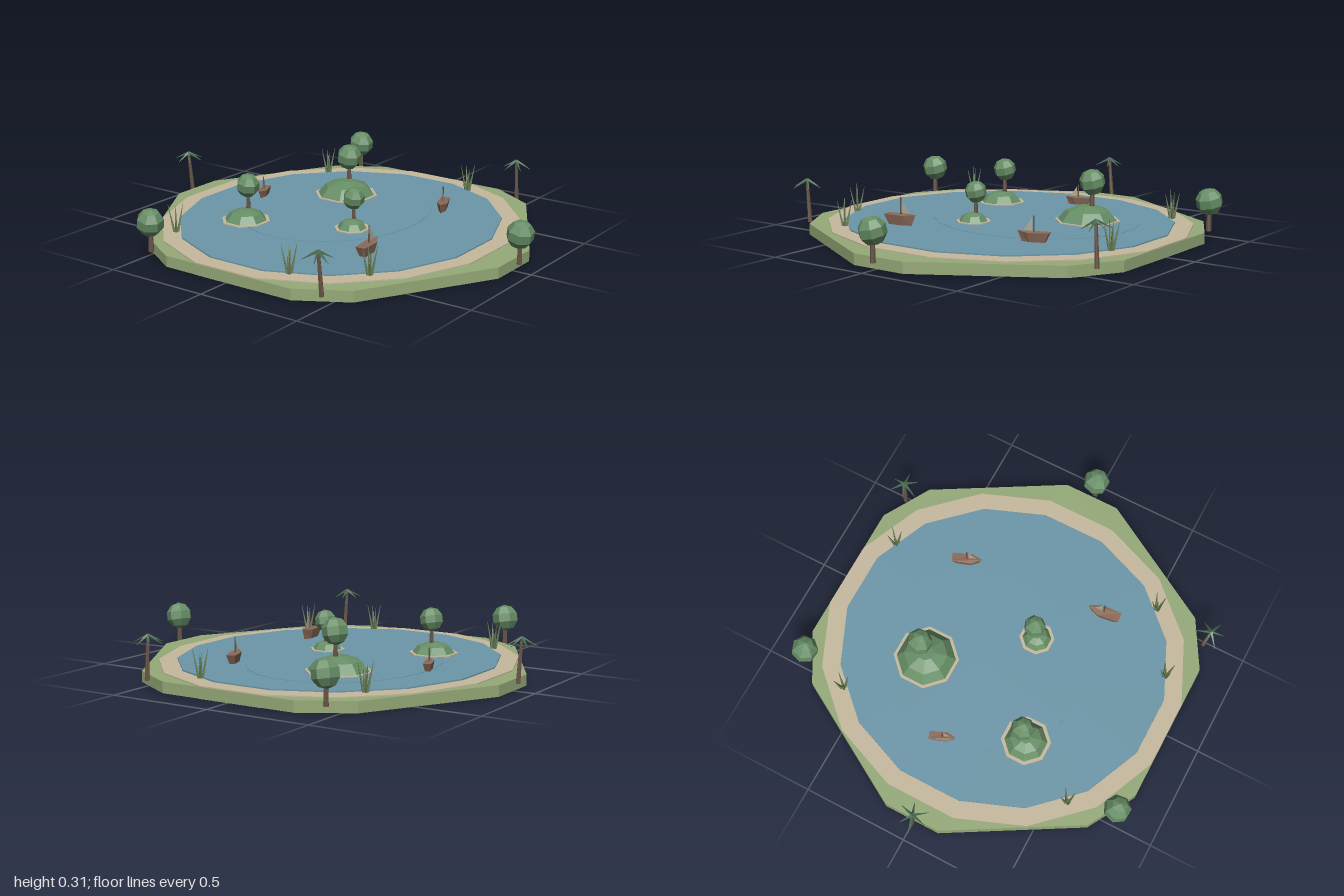
import * as THREE from 'three';

const mat = (name, color, side = THREE.FrontSide) => {
  const m = new THREE.MeshStandardMaterial({ color, flatShading: true, side });
  m.name = name;
  return m;
};

export function createModel() {
  const grass = mat('grass', 0x95aa78);
  const sand = mat('sand', 0xc6ba9e);
  const water = mat('water', 0x6c97a9);
  const leaf = mat('leaf', 0x668d65);
  const bark = mat('bark', 0x6a5546);
  const frondGreen = mat('frond', 0x4c6f56);
  const reedGreen = mat('reed', 0x687d54);
  const hullWood = mat('hullWood', 0x8c6a58);
  const sailCloth = mat('sailCloth', 0xb5a994, THREE.DoubleSide);

  const root = new THREE.Group();
  root.name = 'lake';
  const add = (parent, name, geo, material, x = 0, y = 0, z = 0) => {
    const m = new THREE.Mesh(geo, material);
    m.name = name;
    m.position.set(x, y, z);
    parent.add(m);
    return m;
  };
  const group = (name, x, y, z) => {
    const g = new THREE.Group();
    g.name = name;
    g.position.set(x, y, z);
    root.add(g);
    return g;
  };
  // Flat many-sided slab between two heights, with edges square to the axes
  const slab = (parent, name, material, sides, rx, rz, y0, y1, x, z) => {
    const geo = new THREE.CylinderGeometry(1, 1, y1 - y0, sides).rotateY(Math.PI / sides).scale(rx, 1, rz);
    return add(parent, name, geo, material, x, (y0 + y1) / 2, z);
  };
  // Tapered rod between two points
  const rod = (parent, name, material, a, b, r0, r1, sides = 5) => {
    const p = new THREE.Vector3(...a), d = new THREE.Vector3(...b).sub(p);
    const geo = new THREE.CylinderGeometry(r1, r0, d.length(), sides);
    const m = add(parent, name, geo, material);
    m.position.copy(p).addScaledVector(d, 0.5);
    m.quaternion.setFromUnitVectors(new THREE.Vector3(0, 1, 0), d.normalize());
    return m;
  };

  // Ground: hexagon with cut corners, mirrored from one quarter
  const q = [[0.135, 0.905], [0.72, 0.565], [0.85, 0.34]];
  const outline = [
    ...q.map(([x, y]) => [x, y]), ...[...q].reverse().map(([x, y]) => [x, -y]),
    ...q.map(([x, y]) => [-x, -y]), ...[...q].reverse().map(([x, y]) => [-x, y]),
  ].map(p => new THREE.Vector2(...p));
  const groundGeo = new THREE.ExtrudeGeometry(new THREE.Shape(outline), { depth: 0.051, bevelEnabled: false });
  add(root, 'ground', groundGeo.rotateX(-Math.PI / 2), grass, 0.01, 0.001, 0.005);

  // Beach and water
  slab(root, 'beach', sand, 16, 0.866, 0.82, 0, 0.057, 0.01, -0.012);
  slab(root, 'water', water, 16, 0.78, 0.737, 0.02, 0.063, 0.008, -0.012);
  slab(root, 'deepWater', water, 24, 0.5, 0.43, 0.05, 0.065, 0.1, -0.1);

  // Round tree
  const tree = (parent, x, y0, z, canopyY, r) => {
    rod(parent, 'trunk', bark, [x, y0, z], [x, canopyY, z], r * 0.2, r * 0.14, 6);
    const c = add(parent, 'canopy', new THREE.SphereGeometry(r, 7, 5), leaf, x, canopyY, z);
    c.rotation.set(0.15, 0.4, 0.12);
  };
  [[0.812, -0.46], [-0.8, -0.46], [0.006, 0.937]].forEach(([x, z]) =>
    tree(group('shoreTree', x, 0, z), 0, 0.034, 0, 0.17, 0.064));

  // Islands: sand rim, faceted mound, one tree
  const moundProfile = [[1, 0], [0.72, 0.68], [0.28, 1], [0, 1.02]].map(p => new THREE.Vector2(...p));
  [
    [0.318, -0.203, 0.154, 0.142, 0.07, 0.025, 0.248, 0.062],
    [-0.283, -0.345, 0.116, 0.102, 0.052, 0.02, 0.228, 0.056],
    [-0.095, 0.125, 0.083, 0.07, 0.042, 0.014, 0.205, 0.052],
  ].forEach(([x, z, rim, r, h, dx, canopyY, cr]) => {
    const g = group('island', x, 0, z);
    slab(g, 'islandBeach', sand, 8, rim, rim, 0.05, 0.069, 0, 0);
    const mound = new THREE.LatheGeometry(moundProfile, 8).rotateY(Math.PI / 8).scale(r, h, r);
    add(g, 'mound', mound, leaf, 0, 0.066, 0);
    tree(g, dx, 0.066 + h * 0.6, 0, canopyY, cr);
  });

  // Palms: leaning trunk and six narrow spiky fronds
  [[0.8, 0.47, 0.01], [-0.815, 0.47, 0.016], [-0.02, -0.922, 0.018]].forEach(([x, z, lean], k) => {
    const g = group('palm', x, 0, z);
    rod(g, 'palmTrunk', bark, [lean, 0.034, 0.004], [0, 0.228, 0], 0.011, 0.007, 6);
    for (let i = 0; i < 6; i++) {
      const a = 0.2 + k * 0.5 + i * Math.PI / 3 + 0.15 * (i % 2), len = 0.064 + 0.008 * (i % 2);
      rod(g, 'frond', frondGreen, [0, 0.233, 0], [Math.cos(a) * len, 0.199, Math.sin(a) * len], 0.008, 0.001, 4);
    }
  });

  // Reed clumps: four blades leaning outward and one upright
  [[-0.58, -0.51], [0.59, -0.51], [-0.71, 0.24], [0.73, 0.24], [-0.53, 0.525]].forEach(([x, z]) => {
    const g = group('reeds', x, 0, z);
    for (let i = 0; i < 4; i++) {
      const a = Math.PI / 4 + i * Math.PI / 2, c = Math.cos(a), s = Math.sin(a), h = 0.188 - 0.012 * (i % 2);
      rod(g, 'reedBlade', reedGreen, [c * 0.008, 0.055, s * 0.008], [c * 0.034, h, s * 0.034], 0.008, 0.001, 4);
    }
    rod(g, 'reedBlade', reedGreen, [0, 0.055, 0], [0.003, 0.15, 0], 0.007, 0.001, 4);
  });

  // Boats: pointed hull narrowing below, slightly raised bow, mast and small sail
  const plan = [[-0.5, -0.42], [0.15, -0.5], [0.5, 0], [0.15, 0.5], [-0.5, 0.42]];
  const boat = (x, z, len, angle) => {
    const g = group('boat', x, 0.062, z);
    const w = len * 0.35, h = len * 0.3;
    const shape = new THREE.Shape(plan.map(([a, b]) => new THREE.Vector2(a * len, b * w)));
    const geo = new THREE.ExtrudeGeometry(shape, { depth: h, bevelEnabled: false }).rotateX(-Math.PI / 2);
    const p = geo.attributes.position;
    for (let i = 0; i < p.count; i++) {
      if (p.getY(i) < h / 2) p.setXYZ(i, p.getX(i) * 0.72, 0, p.getZ(i) * 0.6);
      else if (p.getX(i) > len * 0.4) p.setY(i, h * 1.1);
    }
    geo.computeVertexNormals();
    add(g, 'hull', geo, hullWood);
    rod(g, 'mast', bark, [0, h * 0.8, 0], [0, len * 0.8, 0], 0.004, 0.003, 5);
    const sail = new THREE.Shape([[0.05, 0.33], [0.3, 0.35], [0.05, 0.74]].map(([a, b]) => new THREE.Vector2(a * len, b * len)));
    add(g, 'sail', new THREE.ShapeGeometry(sail), sailCloth);
    g.rotation.y = angle;
  };
  boat(-0.32, 0.375, 0.16, 0.1);
  boat(0.38, 0.315, 0.145, Math.PI + 0.36);
  boat(0.06, -0.513, 0.125, Math.PI + 0.36);

  return root;
}
